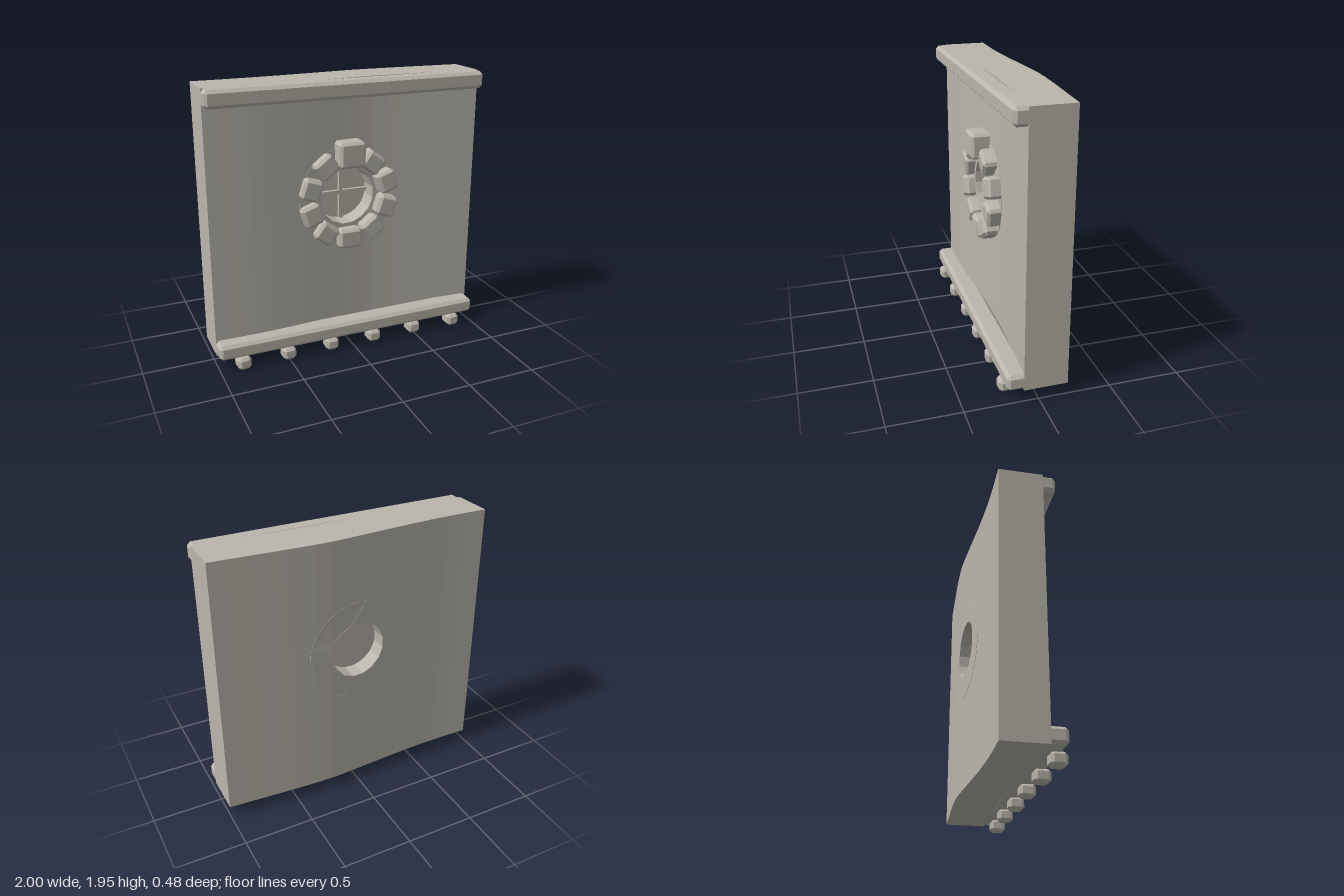
import * as THREE from 'three';
import { ConvexGeometry } from 'three/addons/geometries/ConvexGeometry.js';

const CY = 1.12, R = 0.205, BOTTOM = 0.08, TOP = 1.95, THICK = 0.3;

// Gentle bow of the wall: z of the back face at a given x
const bow = new THREE.SplineCurve([
  [-1, -0.2], [-0.7, -0.196], [-0.4, -0.206], [0, -0.233], [0.22, -0.244],
  [0.45, -0.236], [0.7, -0.22], [1, -0.2],
].map(p => new THREE.Vector2(...p)));
const bowPoints = bow.getPoints(140);
function backZ(x) {
  let i = 1;
  while (i < bowPoints.length - 1 && bowPoints[i].x < x) i++;
  const a = bowPoints[i - 1], b = bowPoints[i];
  return a.y + (b.y - a.y) * (x - a.x) / (b.x - a.x);
}

// Box with every edge cut at 45 degrees
function chamferBox(w, h, d, c) {
  const pts = [];
  for (const x of [-1, 1]) for (const y of [-1, 1]) for (const z of [-1, 1]) {
    const X = w / 2, Y = h / 2, Z = d / 2;
    pts.push(new THREE.Vector3(x * X, y * (Y - c), z * (Z - c)));
    pts.push(new THREE.Vector3(x * (X - c), y * Y, z * (Z - c)));
    pts.push(new THREE.Vector3(x * (X - c), y * (Y - c), z * Z));
  }
  return new ConvexGeometry(pts);
}

// Bowed slab made of vertical strips, leaving a round opening
function wallGeometry() {
  const xs = [];
  for (let i = 0; i <= 16; i++) xs.push(R * Math.cos(Math.PI * i / 16));
  for (let i = 0; i <= 8; i++) {
    const x = R + (1 - R) * i / 8;
    if (i) xs.push(x, -x);
  }
  xs.sort((a, b) => a - b);
  const pos = [];
  const quad = (a, b, c, d) => pos.push(...a, ...b, ...c, ...a, ...c, ...d);
  const strip = (x0, x1, lo0, lo1, hi0, hi1) => {
    const b0 = backZ(x0), b1 = backZ(x1), f0 = b0 + THICK, f1 = b1 + THICK;
    quad([x0, lo0, f0], [x1, lo1, f1], [x1, hi1, f1], [x0, hi0, f0]);
    quad([x1, lo1, b1], [x0, lo0, b0], [x0, hi0, b0], [x1, hi1, b1]);
    quad([x0, hi0, f0], [x1, hi1, f1], [x1, hi1, b1], [x0, hi0, b0]);
    quad([x0, lo0, b0], [x1, lo1, b1], [x1, lo1, f1], [x0, lo0, f0]);
  };
  const half = x => Math.sqrt(Math.max(0, R * R - x * x));
  for (let i = 0; i < xs.length - 1; i++) {
    const x0 = xs[i], x1 = xs[i + 1], h0 = half(x0), h1 = half(x1);
    if (Math.abs(x0 + x1) / 2 > R) strip(x0, x1, BOTTOM, BOTTOM, TOP, TOP);
    else {
      strip(x0, x1, BOTTOM, BOTTOM, CY - h0, CY - h1);
      strip(x0, x1, CY + h0, CY + h1, TOP, TOP);
    }
  }
  // End faces
  const l = backZ(-1), r = backZ(1);
  quad([-1, BOTTOM, l], [-1, BOTTOM, l + THICK], [-1, TOP, l + THICK], [-1, TOP, l]);
  quad([1, BOTTOM, r + THICK], [1, BOTTOM, r], [1, TOP, r], [1, TOP, r + THICK]);
  const g = new THREE.BufferGeometry();
  g.setAttribute('position', new THREE.Float32BufferAttribute(pos, 3));
  g.computeVertexNormals();
  return g;
}

// Collar lining the opening, bent with the wall
function collarGeometry() {
  const circle = (Type, r) => new Type(Array.from({ length: 16 }, (_, i) => {
    const a = Math.PI * 2 * (i + 0.5) / 16;
    return new THREE.Vector2(r * Math.cos(a), r * Math.sin(a));
  }));
  const shape = circle(THREE.Shape, 0.37);
  shape.holes.push(circle(THREE.Path, 0.205));
  const g = new THREE.ExtrudeGeometry(shape, { depth: THICK + 0.006, bevelEnabled: false });
  const p = g.attributes.position;
  for (let i = 0; i < p.count; i++) p.setZ(i, p.getZ(i) + backZ(p.getX(i)) - 0.002);
  g.computeVertexNormals();
  return g;
}

export function createModel() {
  const group = new THREE.Group();
  const stone = new THREE.MeshStandardMaterial({ color: 0xbab6ac });
  stone.name = 'stone';
  const add = (name, geometry, x = 0, y = 0, z = 0) => {
    const m = new THREE.Mesh(geometry, stone);
    m.name = name;
    m.position.set(x, y, z);
    group.add(m);
    return m;
  };

  add('wall', wallGeometry());
  add('windowCollar', collarGeometry(), 0, CY, 0);

  // Window pane and crossed bars
  add('windowPane', new THREE.CylinderGeometry(0.206, 0.206, 0.03, 16), 0, CY, -0.09).rotation.x = Math.PI / 2;
  add('verticalBar', new THREE.BoxGeometry(0.026, 0.41, 0.026), 0, CY, -0.06);
  add('horizontalBar', new THREE.BoxGeometry(0.41, 0.026, 0.026), 0, CY - 0.005, -0.06);

  // Ring of ten blocks, with a larger keystone on top
  const tilt = [0, 0.05, -0.04, 0.03, -0.05, 0, 0.04, -0.03, 0.05, -0.04];
  for (let i = 0; i < 10; i++) {
    const a = Math.PI * 2 * i / 10, key = i === 0;
    const r = key ? 0.32 : 0.297;
    const geo = key ? chamferBox(0.19, 0.18, 0.17, 0.018)
      : chamferBox(i === 5 ? 0.17 : 0.152, 0.14, 0.15, 0.02);
    const b = add(key ? 'keystone' : 'windowBlock', geo,
      r * Math.sin(a), CY + r * Math.cos(a), key ? 0.105 : 0.078 - 0.04 * tilt[i]);
    b.rotation.set(tilt[i], -tilt[i], -a);
  }

  // Ledges along the top and the foot
  add('topLedge', chamferBox(2, 0.12, 0.13, 0.022), 0, 1.89, 0.122);
  add('bottomLedge', chamferBox(2, 0.11, 0.15, 0.022), 0, 0.14, 0.135);

  // Small blocks hanging under the bottom ledge
  const push = [0.012, 0.004, -0.006, -0.004, -0.006, 0.004];
  push.forEach((dz, i) => {
    add('footBlock', chamferBox(0.096, 0.09, 0.11, 0.02), -0.833 + i / 3, 0.045, 0.168 + dz)
      .rotation.y = dz * 6;
  });

  return group;
}
